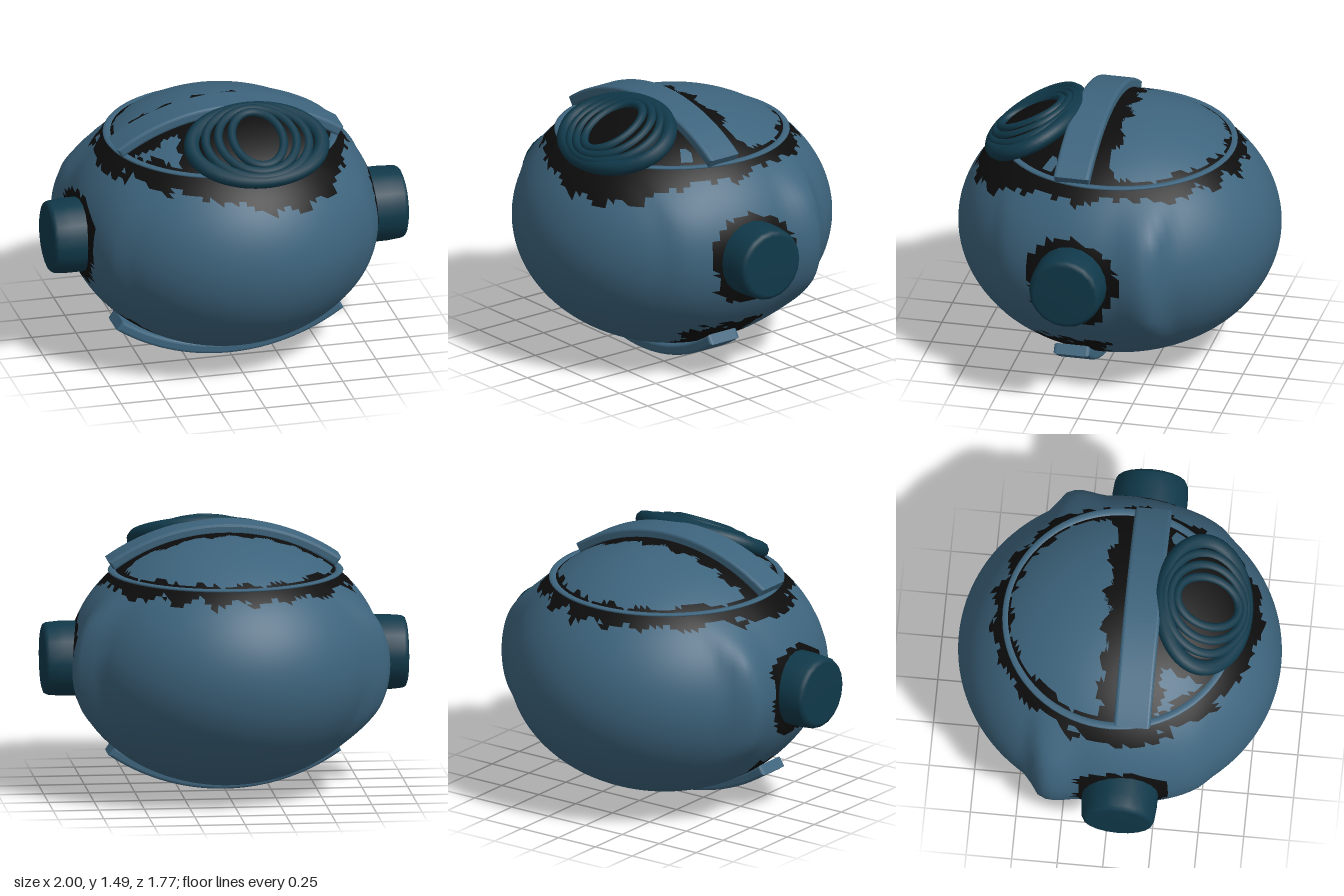
import * as THREE from 'three';
import { mergeVertices } from 'three/addons/utils/BufferGeometryUtils.js';

const CY = 0.7375; // height of the body centre
const blue = new THREE.MeshStandardMaterial({ name: 'slateBlue', color: 0x3d647d });
const teal = new THREE.MeshStandardMaterial({ name: 'darkTeal', color: 0x10394a });
const black = new THREE.MeshStandardMaterial({ name: 'sootBlack', color: 0x0d0d0d });

const EYE = { x: 0.09, y: 1.325, z: 0.45, tilt: 0.47 };
const ss = THREE.MathUtils.smoothstep;

// Ragged edge for the soot patches
function ragged(x, y, z) {
  return 0.018 * (Math.sin(31 * x + 17 * y) + Math.sin(43 * z - 23 * x + 1.3) * Math.sin(57 * x + 29 * y + 11 * z));
}

// Is this point of the shell blackened?
function isSoot(x, y, z) {
  const n = ragged(x, y, z), ax = Math.abs(x);
  // around the side knobs
  if (ax > 0.6 && Math.hypot(y - CY, z - 0.08) < 0.255 + n) return true;
  // along the rim ring
  if (y < 1.25 + n * 0.5 && y > (z > 0 ? 1.145 : 1.165) + n) return true;
  // beside the upper and lower straps
  if (y > 1.2 && ax < 0.68 && z > -0.07 - n && z < 0.27 + n) return true;
  if (y < 0.31 + n && ax < 0.7) {
    const w = 0.12 + 0.09 * ss(y, 0.08, 0.3);
    if (Math.abs(z - 0.125) < w + n) return true;
  }
  // under the shuttered eye
  return y > 1.0 && Math.hypot((x - EYE.x) / 0.44, (z - 0.45) / 0.32) < 1 + 2 * n;
}

// Egg-shaped shell with a raised band on each side
function makeBody() {
  let geo = new THREE.SphereGeometry(1, 112, 80);
  geo.deleteAttribute('uv');
  geo.deleteAttribute('normal');
  geo = mergeVertices(geo, 1e-4);
  const p = geo.attributes.position;
  for (let i = 0; i < p.count; i++) {
    const y = p.getY(i) * 0.69, z = p.getZ(i) * 0.885;
    const fade = 1 - ss(Math.abs(y), 0.22, 0.55);
    const rear = 0.095 * ss(z, -0.46, -0.36) * (1 - ss(z, -0.36, -0.12));
    const front = 0.025 * (1 - ss(z, 0.5, 0.57)) * ss(z, 0.2, 0.5);
    p.setXYZ(i, p.getX(i) * 0.86 * (1 + fade * (rear + front)), y + CY, z);
  }
  const clean = [], soot = [], idx = geo.index.array;
  for (let i = 0; i < idx.length; i += 3) {
    const t = [idx[i], idx[i + 1], idx[i + 2]];
    const mid = get => t.reduce((s, v) => s + p[get](v), 0) / 3;
    (isSoot(mid('getX'), mid('getY'), mid('getZ')) ? soot : clean).push(...t);
  }
  geo.setIndex([...clean, ...soot]);
  geo.addGroup(0, clean.length, 0);
  geo.addGroup(clean.length, soot.length, 1);
  geo.computeVertexNormals();
  const body = new THREE.Mesh(geo, [blue, black]);
  body.name = 'body';
  return body;
}

// Curved strap with softened edges, bulging up (+1) or down (-1)
function makeStrap(dir) {
  const R = 1.12, b = 0.015, half = 0.595, s = new THREE.Shape();
  s.absarc(0, 0, R - b, Math.PI / 2 - half, Math.PI / 2 + half, false);
  s.absarc(0, 0, R - 0.045, Math.PI / 2 + half, Math.PI / 2 - half, true);
  const geo = new THREE.ExtrudeGeometry(s, {
    depth: 0.165, bevelThickness: 0.018, bevelSize: b, bevelSegments: 3, curveSegments: 28,
  });
  geo.translate(0, 0, -0.0825);
  const strap = new THREE.Mesh(geo, blue);
  strap.name = dir > 0 ? 'upperStrap' : 'lowerStrap';
  strap.position.set(0, CY + dir * (0.7375 - R), 0.125);
  if (dir < 0) strap.rotation.x = Math.PI;
  return strap;
}

// Round side knob with a softened rim
function makeKnob(side) {
  const pts = [[0, 0.2], [0.17, 0.2], [0.19, 0.193], [0.2, 0.175], [0.207, 0.1], [0.207, 0]]
    .reverse().map(([r, h]) => new THREE.Vector2(r, h));
  const knob = new THREE.Mesh(new THREE.LatheGeometry(pts, 20), teal);
  knob.name = side > 0 ? 'leftKnob' : 'rightKnob';
  knob.rotation.z = -side * Math.PI / 2;
  knob.position.set(side * 0.8, CY, 0.08);
  return knob;
}

// Closed oval tube lying in the xz plane
function ovalTube(rx, rz, r) {
  const pts = [];
  for (let i = 0; i < 32; i++) {
    const a = i / 32 * Math.PI * 2;
    pts.push(new THREE.Vector3(rx * Math.cos(a), 0, rz * Math.sin(a)));
  }
  return new THREE.TubeGeometry(new THREE.CatmullRomCurve3(pts, true), 64, r, 10, true);
}

// Tilted eye made of nested oval rings on a dark core
function makeEye() {
  const eye = new THREE.Group();
  eye.name = 'shutteredEye';
  const skirt = new THREE.Mesh(new THREE.SphereGeometry(1, 40, 20), teal);
  skirt.name = 'eyeSkirt';
  skirt.scale.set(0.375, 0.07, 0.28);
  skirt.position.y = -0.025;
  const core = new THREE.Mesh(new THREE.SphereGeometry(1, 40, 20), black);
  core.name = 'eyeCore';
  core.scale.set(0.33, 0.058, 0.25);
  core.position.y = 0.005;
  eye.add(skirt, core);
  const rings = [[0.362, 0.255, 0.044, 0], [0.285, 0.25, 0.027, 0.025], [0.215, 0.225, 0.025, 0.042], [0.14, 0.19, 0.024, 0.055]];
  rings.forEach(([rx, rz, r, h], i) => {
    const ring = new THREE.Mesh(ovalTube(rx, rz, r), teal);
    ring.name = 'eyeRing' + (i + 1);
    ring.position.y = h;
    eye.add(ring);
  });
  eye.position.set(EYE.x, EYE.y, EYE.z);
  eye.rotation.x = EYE.tilt;
  return eye;
}

export function createModel() {
  const model = new THREE.Group();
  model.name = 'roundCapsule';
  model.add(makeBody());
  for (const dir of [1, -1]) model.add(makeStrap(dir), makeKnob(dir));

  // Thin flat ring around the crown
  const rim = new THREE.Mesh(new THREE.TorusGeometry(0.622, 0.022, 10, 72), blue);
  rim.name = 'crownRing';
  rim.rotation.x = Math.PI / 2;
  rim.scale.z = 0.4;
  rim.position.y = 1.228;
  model.add(rim, makeEye());
  return model;
}
